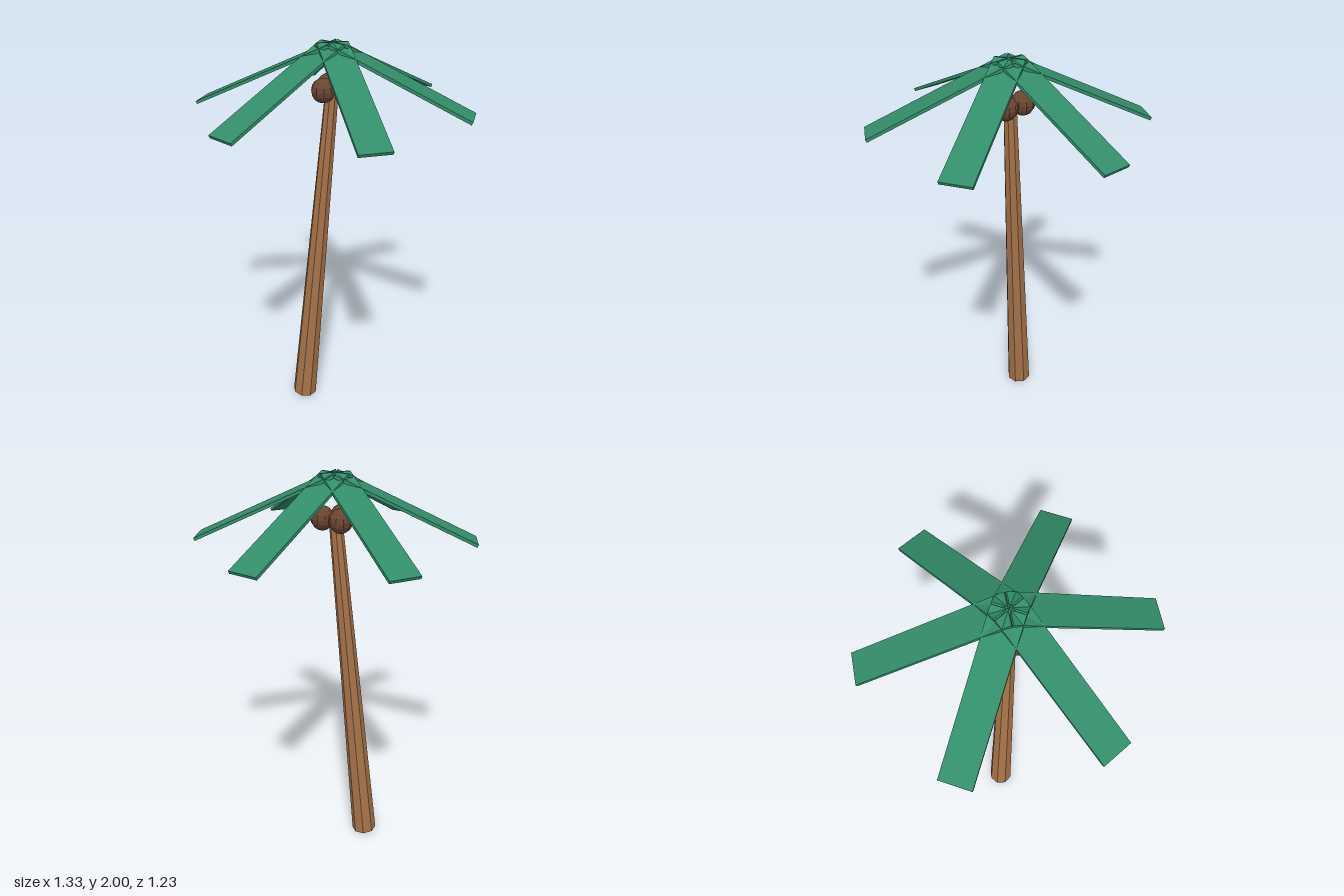
import * as THREE from 'three';

const material = (color) => new THREE.MeshStandardMaterial({ color, flatShading: true });

export function createModel() {
  const tree = new THREE.Group();
  tree.name = 'palmTree';

  const bark = material(0xa8744a);
  const husk = material(0x6b4530);
  const green = material(0x328d6a);

  // Leaning, tapered trunk
  const base = new THREE.Vector2(-0.165, 0.006);
  const top = new THREE.Vector2(0, 1.8);
  const trunk = new THREE.Mesh(
    new THREE.CylinderGeometry(0.032, 0.065, base.distanceTo(top), 8, 8), bark);
  trunk.name = 'trunk';
  trunk.position.set((base.x + top.x) / 2, (base.y + top.y) / 2, 0);
  trunk.rotation.z = -Math.atan2(top.x - base.x, top.y - base.y);
  tree.add(trunk);

  // Three coconuts clustered around the trunk top
  const coconutGeometry = new THREE.SphereGeometry(0.058, 10, 8);
  for (let i = 0; i < 3; i++) {
    const angle = (i * Math.PI * 2) / 3;
    const coconut = new THREE.Mesh(coconutGeometry, husk);
    coconut.name = `coconut${i + 1}`;
    coconut.position.set(Math.cos(angle) * 0.06, 1.787, Math.sin(angle) * 0.06);
    tree.add(coconut);
  }

  // Six flat fronds drooping from the crown
  const frondGeometry = new THREE.BoxGeometry(0.727, 0.015, 0.15);
  frondGeometry.rotateZ(-0.43);
  frondGeometry.translate(0.332, 1.8415, 0);
  for (let i = 0; i < 6; i++) {
    const frond = new THREE.Mesh(frondGeometry, green);
    frond.name = `frond${i + 1}`;
    frond.rotation.y = (i * Math.PI) / 3;
    tree.add(frond);
  }

  return tree;
}
